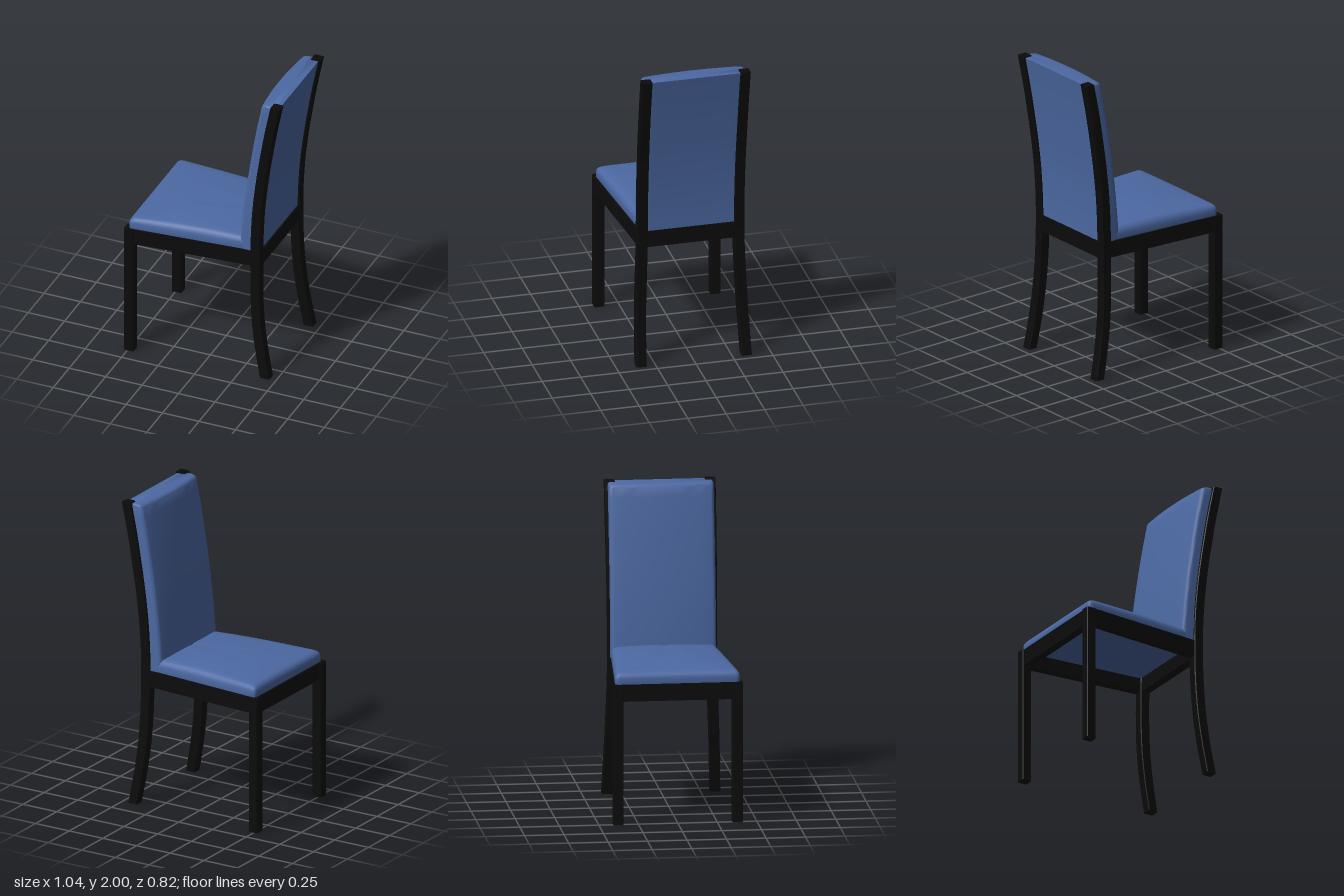
import * as THREE from 'three';
import { toCreasedNormals } from 'three/addons/utils/BufferGeometryUtils.js';

const wood = new THREE.MeshStandardMaterial({ color: 0x0b0b0b });
const fabric = new THREE.MeshStandardMaterial({ color: 0x4c69a3 });

// Outline in x/z with softened corners; each straight edge is split so it can be bent
function outline(corners, r, arc = 1, split = 1) {
  const v = corners.map(([x, z]) => new THREE.Vector2(x, z));
  const n = v.length, pts = [];
  const toward = (a, b) => a.clone().add(b.clone().sub(a).setLength(r));
  for (let i = 0; i < n; i++) {
    const c = v[i], next = v[(i + 1) % n];
    const a = toward(c, v[(i + n - 1) % n]), b = toward(c, next), e = toward(next, c);
    pts.push(...new THREE.QuadraticBezierCurve(a, c, b).getPoints(arc));
    for (let k = 1; k < split; k++) pts.push(b.clone().lerp(e, k / split));
  }
  return pts;
}

// Skin a stack of rings (arrays of Vector3, bottom to top) and close both ends
function loft(rings, crease = 0.6) {
  const n = rings[0].length, m = rings.length, pos = [], index = [];
  rings.flat().forEach(p => pos.push(p.x, p.y, p.z));
  for (const ring of [rings[0], rings[m - 1]]) {
    const c = ring.reduce((s, p) => s.add(p), new THREE.Vector3()).divideScalar(n);
    pos.push(c.x, c.y, c.z);
  }
  for (let j = 0; j < n; j++) {
    const k = (j + 1) % n;
    for (let i = 0; i < m - 1; i++) {
      const a = i * n + j, b = i * n + k;
      index.push(a, b, b + n, a, b + n, a + n);
    }
    index.push(n * m, k, j, n * m + 1, (m - 1) * n + j, (m - 1) * n + k);
  }
  const g = new THREE.BufferGeometry();
  g.setAttribute('position', new THREE.Float32BufferAttribute(pos, 3));
  g.setIndex(index);
  return toCreasedNormals(g, crease);
}

const at = (pts, y) => pts.map(p => new THREE.Vector3(p.x, y, p.y));
const rect = (x0, x1, z0, z1) => [[x0, z0], [x0, z1], [x1, z1], [x1, z0]];
const trapezoid = (x0, x1, w0, w1) => [[x0, -w0], [x0, w0], [x1, w1], [x1, -w1]];

// Square bar following points [x, y, z]
function bar(path, h = 0.0325) {
  return loft(path.map(([x, y, z]) =>
    at(outline(rect(x - h, x + h, z - h, z + h), 0.005), y)));
}

function seatGeometry() {
  const rings = [];
  const add = (inset, y, dome) => rings.push(
    at(outline(trapezoid(-0.5 + inset, 0.325, 0.397 - inset, 0.327 - inset), 0.03, 5, 10), y)
      .map(p => {
        const u = (p.x + 0.06) / 0.45, w = p.z / 0.37;
        p.y += dome * Math.max(0, 1 - u * u) * Math.max(0, 1 - 0.7 * w * w);
        return p;
      }));
  add(0.004, 0.885, 0);
  add(0, 0.9, 0);
  add(0, 0.935, 0);
  // Rolled upper edge
  for (let i = 1; i <= 5; i++) {
    const t = i / 5 * Math.PI / 2;
    add(0.035 * (1 - Math.cos(t)), 0.935 + 0.037 * Math.sin(t), 0.028 * i / 5);
  }
  // Crown of the cushion
  for (let i = 1; i <= 6; i++) add(0.035 + i * 0.045, 0.972 + 0.0005 * i, 0.028);
  return loft(rings, 0.8);
}

// Front and rear faces of the backrest as smooth curves over height
const front = new THREE.SplineCurve([[0.9, 0.216], [1, 0.221], [1.2, 0.239], [1.4, 0.263],
  [1.6, 0.293], [1.8, 0.327], [2, 0.367]].map(p => new THREE.Vector2(...p)));
const rear = new THREE.SplineCurve([[0.9, 0.367], [1, 0.369], [1.2, 0.38], [1.4, 0.402],
  [1.6, 0.432], [1.8, 0.466], [2, 0.506]].map(p => new THREE.Vector2(...p)));

function backrestGeometry() {
  const rings = [];
  const add = (t, inset) => {
    const f = front.getPoint(t), b = rear.getPoint(t);
    const x0 = f.x === undefined ? 0 : f.y + 0.022 + inset, x1 = b.y;
    rings.push(at(outline(trapezoid(x0, x1, 0.333 - inset * 0.4, 0.333 - inset * 0.4), 0.025, 5, 10), f.x)
      .map(p => {
        const w = p.z / 0.333;
        p.x -= 0.022 * (1 - w * w) * (x1 - p.x) / (x1 - x0);
        return p;
      }));
  };
  for (let i = 0; i <= 20; i++) add(i / 20 * 0.965, 0);
  // Rolled top edge
  for (let i = 1; i <= 5; i++) {
    const a = i / 5 * Math.PI / 2;
    add(0.965 + 0.027 * Math.sin(a), 0.03 * (1 - Math.cos(a)));
  }
  return loft(rings, 0.8);
}

export function createModel() {
  const chair = new THREE.Group();
  chair.name = 'diningChair';
  const add = (name, geometry, material) => {
    const mesh = new THREE.Mesh(geometry, material);
    mesh.name = name;
    chair.add(mesh);
  };

  for (const [side, s] of [['Left', 1], ['Right', -1]]) {
    // Straight legs at the open end of the seat
    add('frontLeg' + side, bar([[-0.4925, 0, s * 0.3775], [-0.4925, 0.9, s * 0.3775]]), wood);

    // Rear leg and back post in one curved piece
    const curve = new THREE.CatmullRomCurve3([[0.425, 0, 0.342], [0.388, 0.2, 0.335],
      [0.362, 0.4, 0.328], [0.35, 0.6, 0.32], [0.347, 0.8, 0.314], [0.349, 1, 0.313],
      [0.36, 1.2, 0.314], [0.382, 1.4, 0.315], [0.412, 1.6, 0.317], [0.446, 1.8, 0.318],
      [0.487, 2, 0.319]].map(([x, y, z]) => new THREE.Vector3(x, y, s * z)));
    add('backPost' + side, bar(curve.getPoints(30).map(p => p.toArray())), wood);

    // Slanted side rail
    const rail = [[-0.47, 0.353], [-0.47, 0.405], [0.33, 0.342], [0.33, 0.29]].map(([x, z]) => [x, s * z]);
    if (s < 0) rail.reverse();
    const edge = outline(rail, 0.004);
    add('sideRail' + side, loft([at(edge, 0.795), at(edge, 0.9)]), wood);
  }

  // Cross rails
  for (const [name, x0, x1, w] of [['frontRail', -0.515, -0.462, 0.36], ['backRail', 0.32, 0.378, 0.295]]) {
    const edge = outline(rect(x0, x1, -w, w), 0.004);
    add(name, loft([at(edge, 0.793), at(edge, 0.9)]), wood);
  }

  // Upholstery
  add('seatCushion', seatGeometry(), fabric);
  add('backrestCushion', backrestGeometry(), fabric);
  return chair;
}
